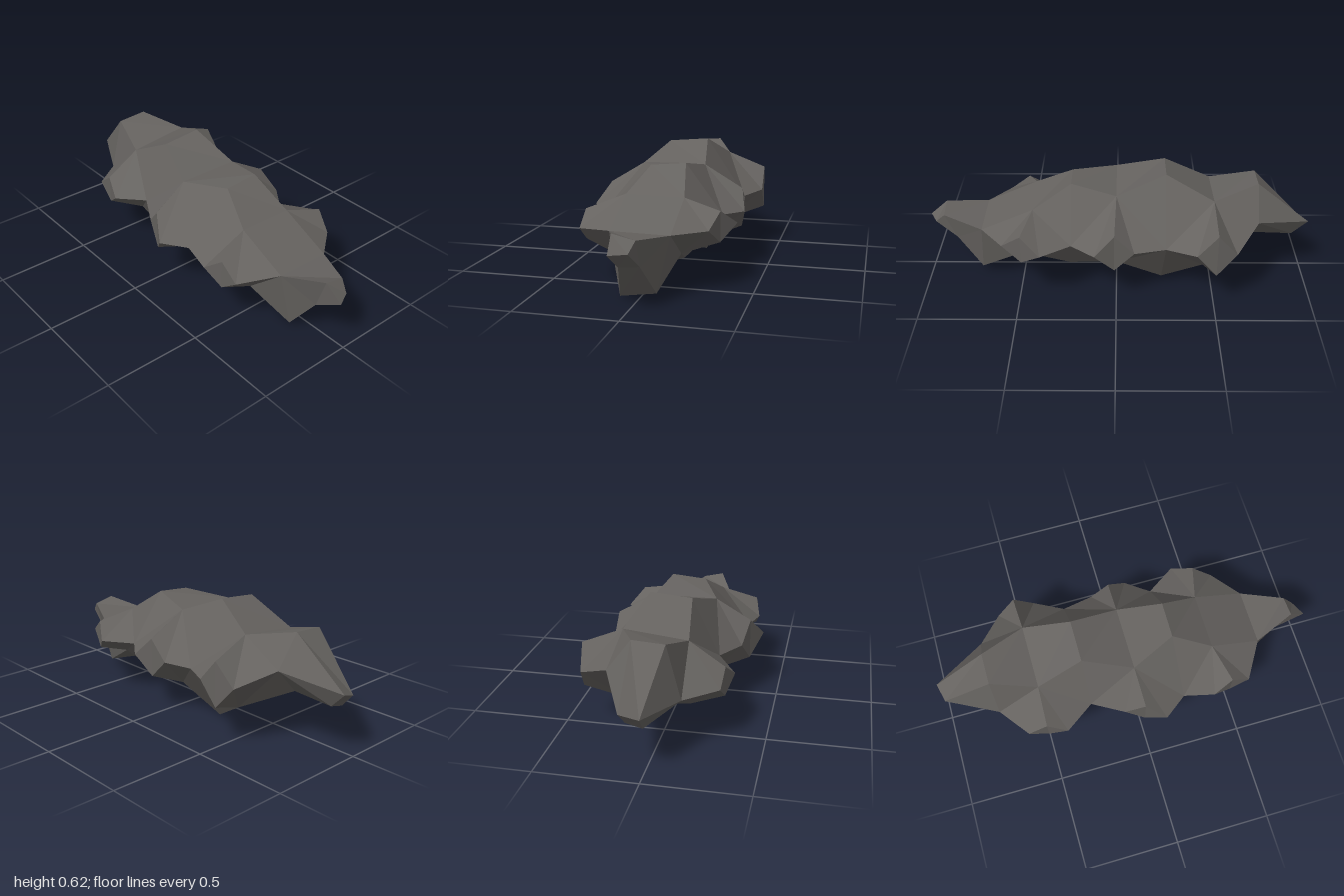
import * as THREE from 'three';

// A front point and a back point sharing one x
const pair = (x, yFront, yBack, zFront, zBack) => [[x, yFront, zFront], [x, yBack, zBack]];

// Rib of the rock: top and bottom edges of equal depth unless tapered
function rib(x, xBottom, yFront, yBack, lowFront, lowBack, zFront, zBack, taper = 1) {
  return {
    x,
    top: pair(x, yFront, yBack, zFront, zBack),
    bot: pair(xBottom, lowFront, lowBack, zFront * taper, zBack * taper),
  };
}

// Rib with one hollow point on each side
function hollow(base, ...mid) {
  return { ...base, mid: pair(base.x, ...mid) };
}

// Blunt diamond end of a side knob: upper, left, lower, right
function diamond(x, y, z, height, tilt, inset = 0.96) {
  return [[x, y + height, z * inset], [x - 0.1, y, z - tilt],
    [x, y - height, z * inset], [x + 0.1, y, z + tilt]];
}

// Closing section whose flanks have no hollow
const end = (top, mid, bot) => ({ top, mid, bot });

function sections() {
  const tail = pair(-0.92, 0.23, 0.25, 0, -0.08);
  const shoulder = rib(0.7, 0.72, 0.315, 0.31, 0.015, 0.04, 0.14, -0.15, 0.6);
  const nose = pair(0.91, 0.36, 0.335, 0.06, -0.05);
  const point = [[1, 0.285, 0.05], [0.96, 0.285, -0.03]];
  return [
    end([[-0.98, 0.3, 0], [-1, 0.33, -0.09]], tail, tail),
    hollow(rib(-0.72, -0.72, 0.55, 0.56, 0.27, 0.27, 0.06, -0.1), 0.28, 0.4, 0.13, -0.22),
    { ...rib(-0.49, -0.45, 0.48, 0.515, 0.13, 0.13, 0.12, -0.2),
      tip: [diamond(-0.5, 0.29, 0.31, 0.075, 0.02), diamond(-0.5, 0.32, -0.395, 0.115, -0.01, 1.02)] },
    hollow(rib(-0.25, -0.24, 0.605, 0.623, 0.03, 0, 0.09, -0.12), 0.31, 0.31, 0.23, -0.33),
    { ...rib(0, 0, 0.52, 0.52, 0.12, 0.12, 0.17, -0.16),
      tip: [diamond(0.01, 0.305, 0.365, 0.105, 0.045), diamond(0.01, 0.305, -0.375, 0.1, -0.015)] },
    hollow(rib(0.23, 0.25, 0.547, 0.563, 0.02, 0.08, 0.07, -0.11), 0.3, 0.31, 0.32, -0.3),
    { ...rib(0.43, 0.49, 0.435, 0.43, 0.13, 0.17, 0.14, -0.15),
      tip: [diamond(0.49, 0.29, 0.34, 0.075, -0.015), diamond(0.48, 0.31, -0.35, 0.075, 0.05)] },
    end(shoulder.top, shoulder.top, shoulder.bot),
    end(nose, nose, pair(0.85, 0.19, 0.2, 0.05, -0.05)),
    end(point, point, point),
  ];
}

function rockGeometry() {
  const positions = [];
  // Fan a polygon from its first corner, leaving out empty triangles
  const poly = ([first, ...rest], flip = false) => {
    const v = [first, ...(flip ? rest.reverse() : rest)].map((p) => new THREE.Vector3(...p));
    for (let i = 1; i + 1 < v.length; i++) {
      const t = new THREE.Triangle(v[0], v[i], v[i + 1]);
      if (t.getArea() < 1e-6) continue;
      for (const p of [t.a, t.b, t.c]) positions.push(p.x, p.y, p.z);
    }
  };
  const rings = sections();

  for (let i = 0; i + 1 < rings.length; i++) {
    const a = rings[i], b = rings[i + 1];
    // Top and underside
    poly([a.top[0], b.top[0], b.top[1], a.top[1]]);
    poly([a.bot[0], b.bot[0], b.bot[1], a.bot[1]], true);
    // Front and back flanks
    for (const s of [0, 1]) {
      const back = s === 1;
      if (!a.tip && !b.tip) {
        poly([a.top[s], a.mid[s], b.mid[s], b.top[s]], back);
        poly([a.mid[s], a.bot[s], b.bot[s], b.mid[s]], back);
        continue;
      }
      // Creases run from the knob's ridge to the hollow
      const leftOfKnob = Boolean(b.tip);
      const [v, k] = leftOfKnob ? [a, b] : [b, a];
      const [upper, left, lower, right] = k.tip[s];
      const side = leftOfKnob ? left : right;
      poly([k.top[s], v.top[s], v.mid[s], side, upper], leftOfKnob === back);
      poly([k.bot[s], v.bot[s], v.mid[s], side, lower], leftOfKnob !== back);
      // Blunt end of the knob
      if (leftOfKnob) poly(k.tip[s], back);
    }
  }
  // Closed tail end
  const { top, bot } = rings[0];
  poly([top[0], top[1], bot[1], bot[0]]);

  const geometry = new THREE.BufferGeometry();
  geometry.setAttribute('position', new THREE.Float32BufferAttribute(positions, 3));
  geometry.computeVertexNormals();
  return geometry;
}

export function createModel() {
  const stone = new THREE.MeshStandardMaterial({ color: 0x65625f });
  stone.name = 'stone grey';
  stone.flatShading = true;
  const rock = new THREE.Mesh(rockGeometry(), stone);
  rock.name = 'rock';
  const model = new THREE.Group();
  model.name = 'facetedRock';
  model.add(rock);
  return model;
}
